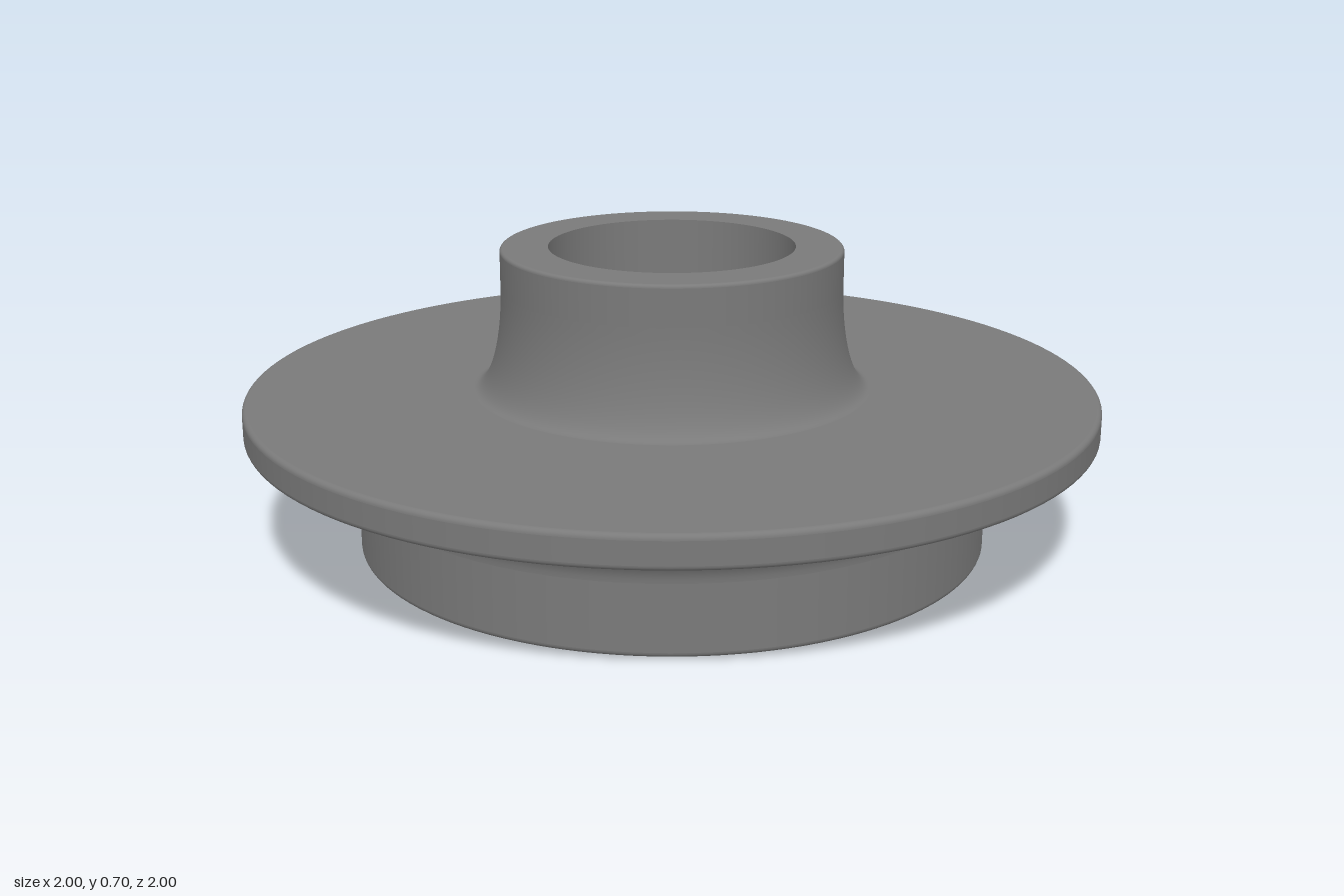
import * as THREE from 'three';

const SEGMENTS = 128;

// Points along a quarter-ellipse arc; angles in degrees
function arc(cx, cy, rx, ry, from, to, steps) {
  return Array.from({ length: steps + 1 }, (_, i) => {
    const a = THREE.MathUtils.degToRad(from + ((to - from) * i) / steps);
    return [cx + rx * Math.cos(a), cy + ry * Math.sin(a)];
  });
}

export function createModel() {
  const group = new THREE.Group();
  group.name = 'flangedBushing';
  const steel = new THREE.MeshStandardMaterial({ color: 0x7a7a7a });
  steel.name = 'grey steel';

  // Each surface is revolved on its own, so flat faces stay flat
  const revolve = (name, points) => {
    const profile = points.map(([x, y]) => new THREE.Vector2(x, y));
    const mesh = new THREE.Mesh(new THREE.LatheGeometry(profile, SEGMENTS), steel);
    mesh.name = name;
    group.add(mesh);
  };

  const bore = 0.288, hub = 0.745, neck = 0.4, top = 0.705;
  const flangeTop = 0.37, flangeBottom = 0.295, r = 0.012;

  // Lower hub
  revolve('hubBottom', [[bore, 0], [hub - r, 0]]);
  revolve('hubBottomEdge', arc(hub - r, r, r, r, -90, 0, 6));
  revolve('hubWall', [[hub, r], [hub, 0.165]]);
  revolve('hubFillet', arc(1, 0.165, 1 - hub, flangeBottom - 0.165, 180, 93, 20));

  // Wide flange
  revolve('flangeLowerEdge', arc(1 - r, flangeBottom + r, r, r, -90, 0, 6));
  revolve('flangeRim', [[1, flangeBottom + r], [1, flangeTop - r]]);
  revolve('flangeUpperEdge', arc(1 - r, flangeTop - r, r, r, 0, 90, 6));
  revolve('flangeTop', [[1 - r, flangeTop], [0.47, flangeTop]]);

  // Flared neck
  revolve('neckFillet', arc(0.47, 0.61, 0.47 - neck, 0.61 - flangeTop, 270, 180, 20));
  revolve('neckWall', [[neck, 0.61], [neck, top - 0.008]]);
  revolve('neckTopEdge', arc(neck - 0.008, top - 0.008, 0.008, 0.008, 0, 90, 6));
  revolve('neckTop', [[neck - 0.008, top], [bore, top]]);

  // Through hole
  revolve('bore', [[bore, top], [bore, 0]]);

  return group;
}
